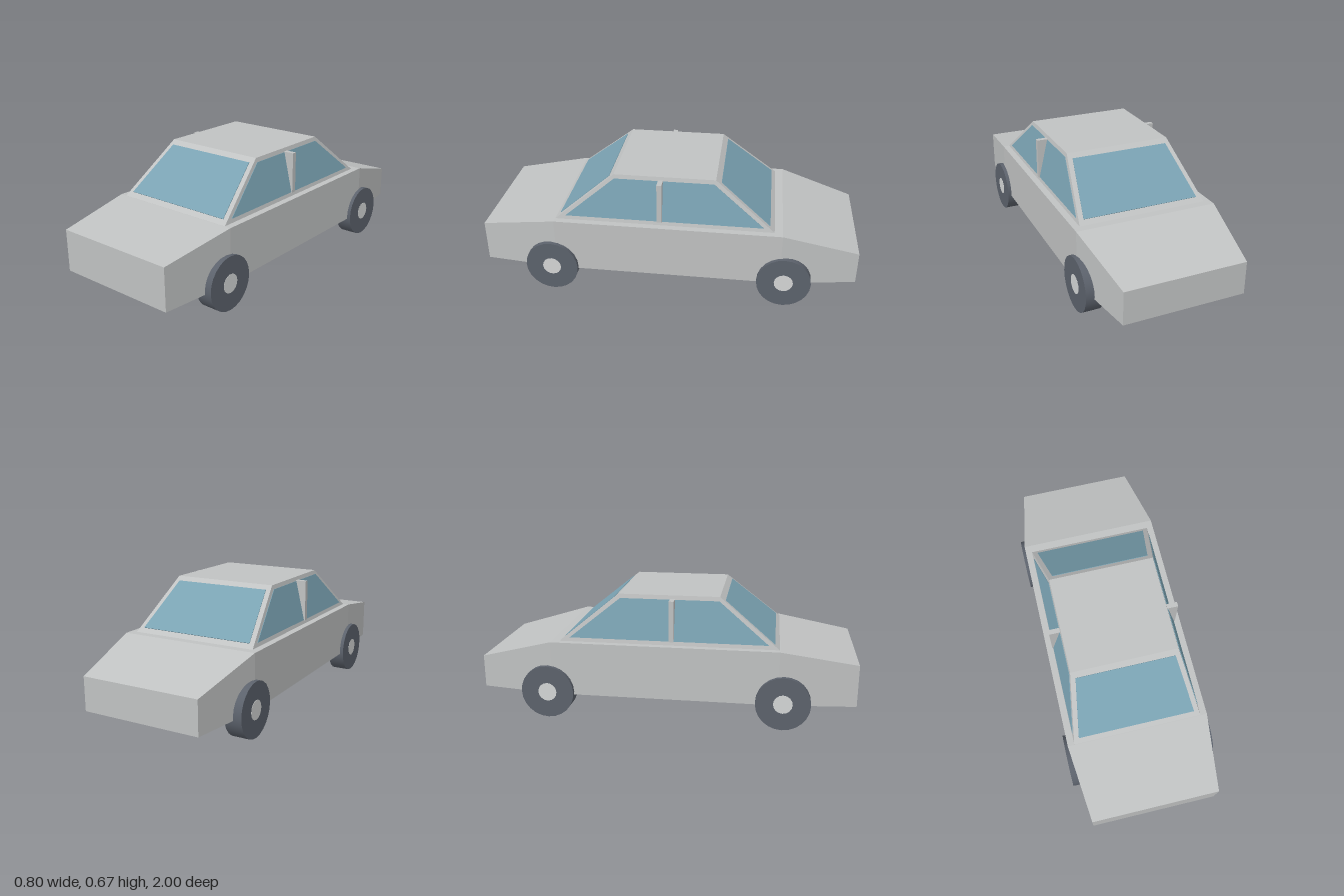
import * as THREE from 'three';

const mat = (name, color) => {
  const m = new THREE.MeshStandardMaterial({ color });
  m.name = name;
  return m;
};

// Flat-faced solid lofted through four-cornered rings, each counterclockwise
// when seen from the end of the loft, with capped ends.
function loft(rings) {
  const pos = [];
  const quad = (a, b, c, d) => pos.push(...a, ...b, ...c, ...a, ...c, ...d);
  for (let i = 0; i < rings.length - 1; i++) {
    const r = rings[i], s = rings[i + 1];
    for (let j = 0; j < 4; j++) {
      const k = (j + 1) % 4;
      quad(r[j], r[k], s[k], s[j]);
    }
  }
  const first = rings[0], last = rings[rings.length - 1];
  quad(first[3], first[2], first[1], first[0]);
  quad(...last);
  const g = new THREE.BufferGeometry();
  g.setAttribute('position', new THREE.Float32BufferAttribute(pos, 3));
  g.computeVertexNormals();
  return g;
}

// Thin four-cornered pane, corners counterclockwise from outside
function pane(corners) {
  const [a, b, , d] = corners.map((p) => new THREE.Vector3(...p));
  const n = b.sub(a).cross(d.sub(a)).normalize();
  const shift = (k) => corners.map((p) => new THREE.Vector3(...p).addScaledVector(n, k).toArray());
  return loft([shift(-0.002), shift(0.003)]);
}

export function createModel() {
  const car = new THREE.Group();
  car.name = 'car';
  const paint = mat('greyPaint', 0xc0c2c2);
  const glass = mat('blueGlass', 0x7aa2b2);
  const rubber = mat('darkRubber', 0x5c626c);
  const metal = mat('lightMetal', 0xd4d6d6);

  const add = (name, geometry, material, x = 0, y = 0, z = 0) => {
    const mesh = new THREE.Mesh(geometry, material);
    mesh.name = name;
    mesh.position.set(x, y, z);
    car.add(mesh);
    return mesh;
  };

  // Lower body: z, half width and top height, from tail to nose
  const sections = [[-1, 0.32, 0.303], [-0.6, 0.38, 0.415], [0.6, 0.38, 0.415], [1, 0.34, 0.35]];
  add('body', loft(sections.map(([z, w, top]) =>
    [[-w, 0.128, z], [w, 0.128, z], [w, top, z], [-w, top, z]])), paint);

  // Cabin: half width, height, front z and back z, from base to roof
  const base = [0.345, 0.413, 0.6, -0.56], roof = [0.285, 0.668, 0.285, -0.245];
  add('cabin', loft([base, roof].map(([w, y, f, b]) =>
    [[-w, y, f], [w, y, f], [w, y, b], [-w, y, b]])), paint);

  // Point on the cabin shell at height y: half width, front z, back z
  const shell = (y) => {
    const t = (y - base[1]) / (roof[1] - base[1]);
    return [0, 2, 3].map((i) => base[i] + (roof[i] - base[i]) * t);
  };
  const lo = 0.435, hi = 0.646;
  const [wl, fl, bl] = shell(lo), [wh, fh, bh] = shell(hi);
  const m = 0.026; // frame width around the glass

  add('windshield', pane([
    [-wl + m, lo, fl], [wl - m, lo, fl], [wh - m, hi, fh], [-wh + m, hi, fh]]), glass);
  add('rearWindow', pane([
    [wl - m, lo, bl], [-wl + m, lo, bl], [-wh + m, hi, bh], [wh - m, hi, bh]]), glass);

  for (const [side, s] of [['left', 1], ['right', -1]]) {
    const corners = [
      [s * wl, lo, fl - 0.03], [s * wl, lo, bl + 0.03],
      [s * wh, hi, bh + 0.035], [s * wh, hi, fh - 0.03]];
    add(side + 'SideWindow', pane(s > 0 ? corners : corners.reverse()), glass);

    // Upright post between the side windows
    add(side + 'DoorPost', new THREE.BoxGeometry(0.07, 0.216, 0.026), paint, s * 0.313, 0.542, 0.04);

    // Wheels with small hub discs
    for (const [end, z] of [['front', 0.625], ['rear', -0.622]]) {
      const tyre = new THREE.CylinderGeometry(0.1425, 0.1425, 0.092, 24).rotateZ(Math.PI / 2);
      add(`${end}${side}Wheel`, tyre.toNonIndexed(), rubber, s * 0.354, 0.1425, z);
      const hub = new THREE.CylinderGeometry(0.05, 0.05, 0.004, 16).rotateZ(Math.PI / 2);
      add(`${end}${side}Hub`, hub, metal, s * 0.399, 0.1425, z);
    }
  }
  return car;
}
